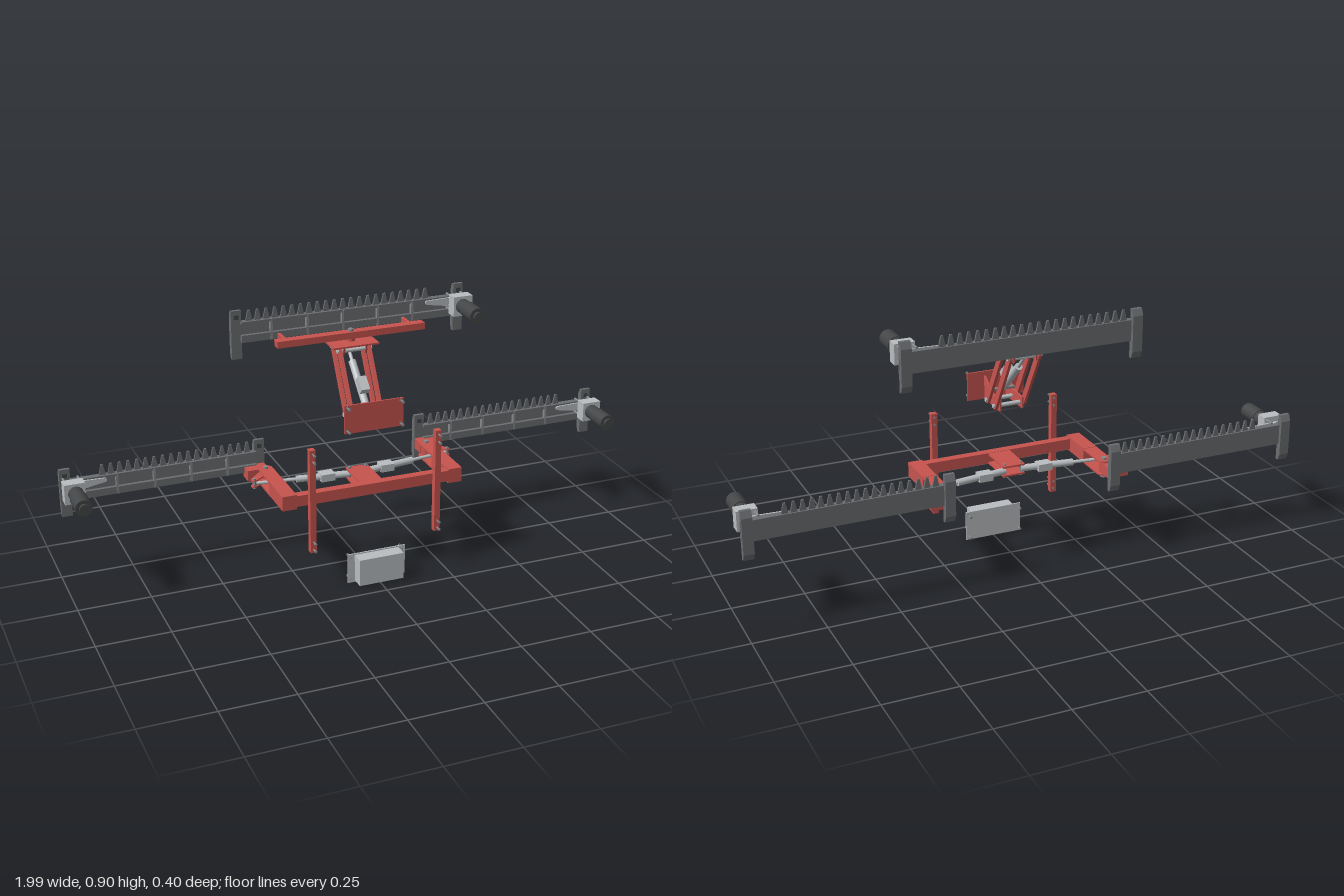
import * as THREE from 'three';

const material = (name, color) => {
  const m = new THREE.MeshStandardMaterial({ color });
  m.name = name;
  return m;
};

export function createModel() {
  const red = material('red paint', 0xc8544f);
  const steel = material('dark steel', 0x6b6d70);
  const light = material('light grey', 0xbabec1);
  const black = material('motor black', 0x444546);
  const bolt = material('bolt grey', 0x85888b);

  const model = new THREE.Group();
  model.name = 'hedgeCutter';
  let target = model;

  const part = (name) => {
    target = new THREE.Group();
    target.name = name;
    model.add(target);
  };
  const add = (name, geo, mat) => {
    const mesh = new THREE.Mesh(geo, mat);
    mesh.name = name;
    target.add(mesh);
    return mesh;
  };
  // Box from its limits on each axis
  const box = (name, mat, x0, x1, y0, y1, z0, z1) => {
    const m = add(name, new THREE.BoxGeometry(Math.abs(x1 - x0), Math.abs(y1 - y0), Math.abs(z1 - z0)), mat);
    m.position.set((x0 + x1) / 2, (y0 + y1) / 2, (z0 + z1) / 2);
    return m;
  };
  // Round rod between two points
  const rod = (name, mat, a, b, r, r2 = r) => {
    const p = new THREE.Vector3(...a), q = new THREE.Vector3(...b);
    const d = q.clone().sub(p);
    const m = add(name, new THREE.CylinderGeometry(r2, r, d.length(), 24), mat);
    m.position.copy(p).add(q).multiplyScalar(0.5);
    m.quaternion.setFromUnitVectors(new THREE.Vector3(0, 1, 0), d.normalize());
    return m;
  };
  const extrude = (pts, depth) => new THREE.ExtrudeGeometry(
    new THREE.Shape(pts.map(([a, b]) => new THREE.Vector2(a, b))), { depth, bevelEnabled: false });
  // Plate with a [z, y] outline, centred on x
  const sidePlate = (name, mat, pts, x, t) => {
    const m = add(name, extrude(pts.map(([z, y]) => [-z, y]), t).rotateY(Math.PI / 2), mat);
    m.position.x = x - t / 2;
  };
  // Flat plate with an [x, z] outline, standing on y
  const flatPlate = (name, mat, pts, y, t) => {
    const m = add(name, extrude(pts.map(([x, z]) => [x, -z]), t).rotateX(-Math.PI / 2), mat);
    m.position.y = y;
  };
  // Outline of a bar with round ends between two 2D points
  const link = (a, b, ra, rb = ra) => {
    const t = Math.atan2(b[1] - a[1], b[0] - a[0]), pts = [];
    for (let i = 0; i <= 8; i++) pts.push([b[0] + rb * Math.cos(t - Math.PI / 2 + i * Math.PI / 8), b[1] + rb * Math.sin(t - Math.PI / 2 + i * Math.PI / 8)]);
    for (let i = 0; i <= 8; i++) pts.push([a[0] + ra * Math.cos(t + Math.PI / 2 + i * Math.PI / 8), a[1] + ra * Math.sin(t + Math.PI / 2 + i * Math.PI / 8)]);
    return pts;
  };
  const screw = (x, y, z0, z1) => {
    rod('screw', bolt, [x, y, z0], [x, y, z1], 0.0025);
    for (const z of [z0 + 0.005, z1 - 0.005]) rod('screwNut', bolt, [x, y, z - 0.002], [x, y, z + 0.002], 0.005);
  };

  // Cutter bar: s mirrors it, xi and xo are its inner and outer ends, Y lifts it
  const cutter = (name, s, xi, xo, Y) => {
    part(name);
    const b = (n, m, x0, x1, y0, y1, z0, z1) => box(n, m, s * x0, s * x1, y0 + Y, y1 + Y, z0, z1);
    // Channel with ribs
    b('backPlate', steel, xi, xo, 0.32, 0.392, -0.188, -0.178);
    b('lowerFlange', steel, xi + 0.03, xo - 0.03, 0.32, 0.345, -0.178, -0.165);
    b('upperFlange', steel, xi + 0.03, xo - 0.03, 0.383, 0.392, -0.178, -0.165);
    for (let x = xi + 0.135; x < xo - 0.1; x += 0.128) b('rib', bolt, x - 0.004, x + 0.004, 0.32, 0.39, -0.178, -0.164);
    // End guards
    for (const x of [xi + 0.016, xo - 0.019]) {
      sidePlate('endGuard', steel, [[-0.178, 0.26], [-0.19, 0.26], [-0.2, 0.283], [-0.2, 0.407],
        [-0.19, 0.43], [-0.178, 0.43]].map(([z, y]) => [z, y + Y]), s * x, 0.036);
      b('guardSlot', black, x - 0.008, x + 0.008, 0.4, 0.415, -0.18, -0.175);
    }
    // Blade teeth in one comb outline
    const t0 = xi + 0.045, t1 = xo - 0.13, n = Math.round((t1 - t0) / 0.0305), w = (t1 - t0) / n;
    const comb = [[t0, 0.38]];
    for (let i = 0; i < n; i++) {
      const x = t0 + i * w;
      comb.push([x + w * 0.1, 0.39], [x + w * 0.38, 0.428], [x + w * 0.62, 0.428], [x + w * 0.9, 0.39]);
    }
    comb.push([t1, 0.38]);
    const blade = add('bladeTeeth', extrude(comb.map(([x, y]) => [s * x, y + Y]), 0.007), steel);
    blade.position.z = -0.182;
    // Motor, gearbox and crank
    const mx = s * (xo - 0.037), my = 0.374 + Y;
    rod('motorCap', black, [mx, my, 0.018], [mx, my, 0.03], 0.016);
    rod('motorBody', black, [mx, my, -0.06], [mx, my, 0.02], 0.0285);
    rod('motorNeck', black, [mx, my, -0.1], [mx, my, -0.06], 0.0255);
    b('gearbox', light, xo - 0.07, xo, 0.338, 0.408, -0.142, -0.1);
    rod('crankShaft', bolt, [mx, my, -0.178], [mx, my, -0.142], 0.008);
    rod('crankDisc', light, [mx, my, -0.168], [mx, my, -0.158], 0.022);
    for (const dx of [-0.025, 0.025]) for (const dy of [-0.025, 0.025])
      rod('gearboxPost', bolt, [mx + dx, my + dy, -0.178], [mx + dx, my + dy, -0.142], 0.004);
    const rodGeo = extrude(link([mx, my], [mx - s * 0.11, my + 0.008], 0.018, 0.007), 0.006);
    add('connectingRod', rodGeo, light).position.z = -0.158;
  };
  cutter('leftCutter', 1, 0.285, 0.995, 0);
  cutter('rightCutter', -1, 0.285, 0.995, 0);
  cutter('upperCutter', 1, -0.385, 0.46, 0.473);

  // Control box
  part('controlBox');
  box('boxBody', light, -0.08, 0.08, 0.007, 0.103, 0.155, 0.203);
  box('boxPlate', light, -0.105, 0.105, 0, 0.107, 0.151, 0.156);
  for (const x of [-0.095, 0.095]) for (const y of [0.015, 0.095]) screw(x, y, 0.126, 0.158);

  // Lower frame
  part('lowerFrame');
  box('crossBeam', red, -0.275, 0.275, 0.306, 0.345, 0.1, 0.13);
  flatPlate('middleBracketLower', red, [[-0.04, 0.1], [0.04, 0.1], [0.04, -0.03], [-0.04, -0.03]], 0.306, 0.006);
  flatPlate('middleBracketUpper', red, [[-0.04, 0.1], [0.04, 0.1], [0.04, -0.03], [-0.04, -0.03]], 0.338, 0.006);
  for (const s of [-1, 1]) {
    box('post', red, s * 0.215, s * 0.236, 0.137, 0.51, 0.13, 0.152);
    for (const y of [0.15, 0.177, 0.47, 0.497]) screw(s * 0.2255, y, 0.126, 0.176);
    box('sideArm', red, s * 0.275, s * 0.325, 0.298, 0.35, -0.008, 0.13);
    // Hinge plates, pin and lever
    for (const y of [0.296, 0.343]) flatPlate('hingePlate', red, link([s * 0.3, 0], [s * 0.3, -0.115], 0.025), y, 0.006);
    rod('hingePin', bolt, [s * 0.3, 0.285, -0.115], [s * 0.3, 0.356, -0.115], 0.009);
    rod('hingePinHead', bolt, [s * 0.3, 0.285, -0.115], [s * 0.3, 0.294, -0.115], 0.013);
    rod('hingeSleeve', red, [s * 0.3, 0.303, -0.115], [s * 0.3, 0.342, -0.115], 0.016);
    box('cutterBracket', red, s * 0.285, s * 0.36, 0.303, 0.342, -0.178, -0.127);
    for (const y of [0.31, 0.332]) flatPlate('lever', red, link([s * 0.305, -0.112], [s * 0.358, -0.066], 0.017, 0.011), y, 0.005);
    rod('leverPin', bolt, [s * 0.358, 0.305, -0.063], [s * 0.358, 0.342, -0.063], 0.006);
    // Linear actuator
    rod('actuatorBody', light, [s * 0.03, 0.324, -0.018], [s * 0.215, 0.324, -0.043], 0.012);
    box('actuatorMotor', light, s * 0.085, s * 0.135, 0.311, 0.337, -0.05, -0.01);
    rod('actuatorRod', light, [s * 0.2, 0.324, -0.041], [s * 0.352, 0.324, -0.062], 0.006);
    rod('actuatorPin', bolt, [s * 0.03, 0.3, -0.018], [s * 0.03, 0.35, -0.018], 0.005);
  }

  // Upper lift base
  part('liftBase');
  box('frontPlate', red, -0.105, 0.105, 0.54, 0.64, 0.125, 0.131);
  for (const x of [-0.095, 0.095]) for (const y of [0.55, 0.632]) screw(x, y, 0.126, 0.156);
  for (const x of [-0.04, 0.04]) sidePlate('baseCheek', red,
    [[0.126, 0.54], [0.126, 0.625], [0.062, 0.583], [-0.01, 0.58], [-0.01, 0.54]], x, 0.006);
  rod('actuatorFootPin', bolt, [-0.04, 0.595, 0.062], [0.04, 0.595, 0.062], 0.006);

  // Parallel lift links with pins
  part('liftLinks');
  for (const [lo, hi] of [[[0.073, 0.557], [-0.047, 0.763]], [[0.008, 0.557], [-0.11, 0.763]]]) {
    for (const x of [-0.052, 0.052]) sidePlate('liftLink', red, link(lo, hi, 0.0125), x, 0.01);
    for (const [z, y] of [lo, hi]) rod('linkPin', light, [-0.062, y, z], [0.062, y, z], 0.0075);
  }

  // Lift actuator
  part('liftActuator');
  rod('liftCylinder', light, [0, 0.6, 0.058], [0, 0.715, -0.066], 0.013);
  rod('liftRod', light, [0, 0.7, -0.05], [0, 0.762, -0.112], 0.006);
  const motor = box('liftMotor', light, -0.015, 0.015, 0.638, 0.69, 0.016, 0.044);
  motor.rotation.x = -0.82;

  // Platform and upper cutter support
  part('platform');
  box('topPlate', red, -0.082, 0.082, 0.778, 0.784, -0.142, -0.025);
  for (const x of [-0.04, 0.04]) sidePlate('platformCheek', red,
    [[-0.03, 0.779], [-0.042, 0.748], [-0.12, 0.748], [-0.122, 0.779]], x, 0.006);
  rod('swivel', red, [0, 0.784, -0.08], [0, 0.8, -0.08], 0.014);
  rod('swivelBolt', bolt, [0, 0.81, -0.08], [0, 0.826, -0.08], 0.009);
  box('supportBar', red, -0.265, 0.265, 0.795, 0.818, -0.096, -0.063);
  for (const x of [-0.225, 0.225]) {
    box('supportArm', red, x - 0.005, x + 0.005, 0.793, 0.812, -0.178, -0.09);
  }

  return model;
}
